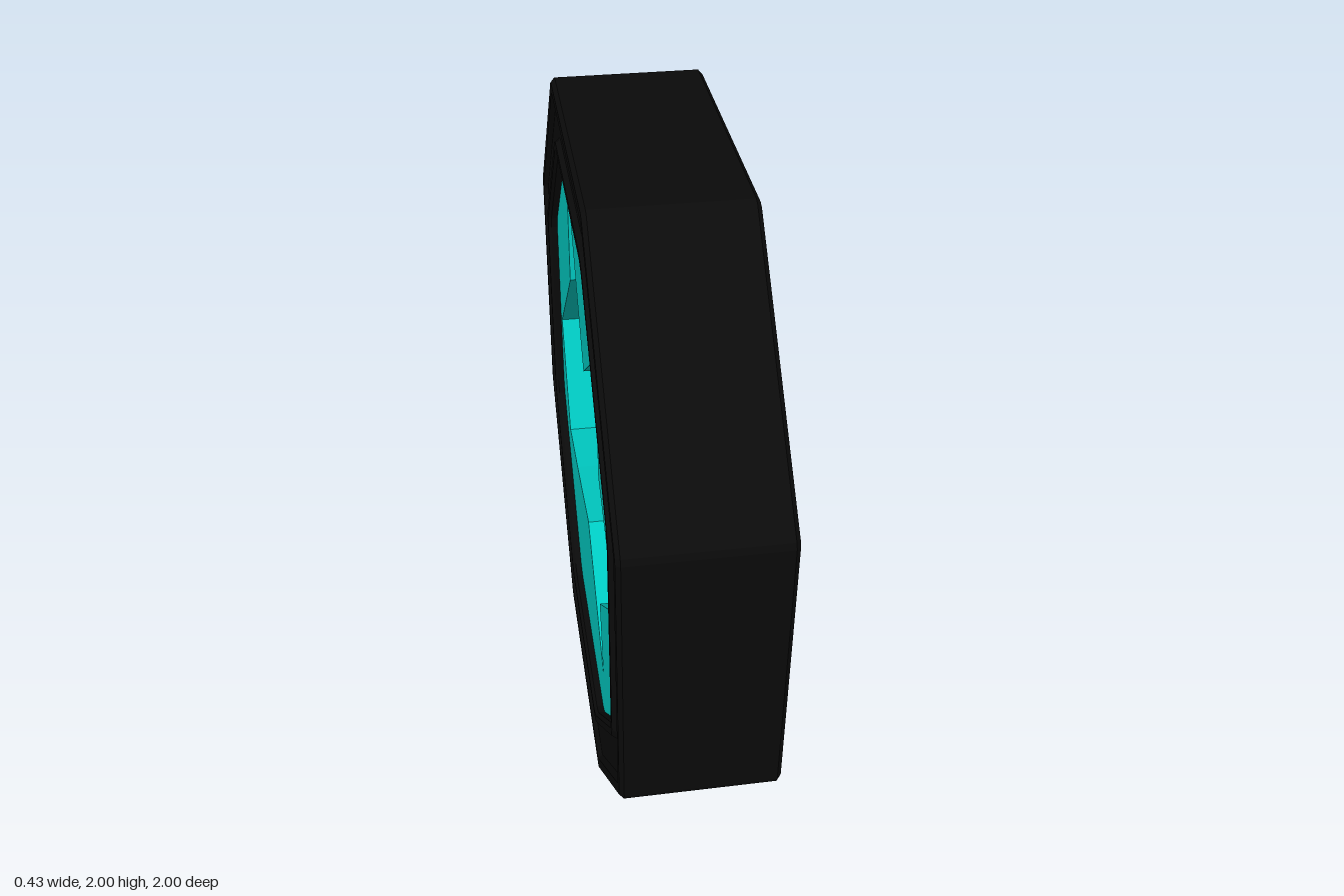
import * as THREE from 'three';

const SIDES = 8;
const STEP = Math.PI / SIDES; // half the angle of one side
const CORNER = 1 / Math.cos(STEP); // flat-to-centre distance -> corner radius

// Octagonal ring with clipped corners, swept from a closed (distance to flat, x) section
function octagonRing(section) {
  const points = section.map(([r, x]) => new THREE.Vector2(r, x));
  points.push(points[0].clone());
  const geometry = new THREE.LatheGeometry(points, SIDES * 2);
  const position = geometry.attributes.position;
  for (let i = 0; i < position.count; i++) {
    const { x: r, y } = points[i % points.length];
    const column = Math.floor(i / points.length);
    // Two columns per corner, each slid a little along its own flat
    const flat = Math.floor((column + 1) / 2) * 2 * STEP;
    const clip = r > 0.9 ? 0.01 : 0.025;
    const along = (column % 2 ? -1 : 1) * (r * Math.tan(STEP) - clip);
    position.setXYZ(
      i,
      r * Math.sin(flat) + along * Math.cos(flat),
      y,
      r * Math.cos(flat) - along * Math.sin(flat)
    );
  }
  geometry.rotateZ(-Math.PI / 2);
  return geometry;
}

export function createModel() {
  const model = new THREE.Group();
  model.name = 'brokenOctagonWindow';

  // Frame: bevelled outer edge, face groove, raised inner lip, rebate for the glass
  const half = 0.217;
  const frame = new THREE.Mesh(
    octagonRing([
      [1, -half + 0.012], [1, half - 0.012],
      [0.988, half], [0.96, half], [0.95, half - 0.02],
      [0.825, half - 0.02], [0.815, half - 0.003], [0.775, half - 0.003],
      [0.77, half - 0.01], [0.77, -0.07],
      [0.812, -0.07], [0.812, -half + 0.01], [0.82, -half],
      [0.84, -half], [0.85, -half + 0.015],
      [0.95, -half + 0.015], [0.96, -half], [0.988, -half],
    ]),
    new THREE.MeshStandardMaterial({ color: 0x0a0a0a, flatShading: true })
  );
  frame.name = 'frame';
  frame.position.y = 1;
  model.add(frame);

  // Glass pane: octagon with a jagged hole, set near the back of the frame
  const pane = new THREE.Shape();
  for (let i = 0; i < SIDES; i++) {
    const a = STEP * (2 * i + 1);
    const r = 0.815 * CORNER;
    const [u, v] = [r * Math.cos(a), 1 + r * Math.sin(a)];
    if (i === 0) pane.moveTo(u, v);
    else pane.lineTo(u, v);
  }
  pane.closePath();

  // Jagged hole as (z, y)
  const jagged = [
    [-0.35, 1.745], [0, 1.27], [0.35, 1.54], [0.355, 1.155],
    [0.695, 0.965], [0.295, 0.62], [0.35, 0.37], [0, 0.695],
    [-0.35, 0.645], [-0.6, 0.62], [-0.78, 0.965], [-0.355, 1.37],
  ];
  pane.holes.push(new THREE.Path(jagged.map(([z, y]) => new THREE.Vector2(-z, y))));

  const glassGeometry = new THREE.ExtrudeGeometry(pane, { depth: 0.117, bevelEnabled: false });
  glassGeometry.rotateY(Math.PI / 2);
  const glass = new THREE.Mesh(
    glassGeometry,
    new THREE.MeshStandardMaterial({ color: 0x00cbc3, flatShading: true })
  );
  glass.name = 'brokenGlass';
  glass.position.x = -0.187;
  model.add(glass);

  return model;
}
